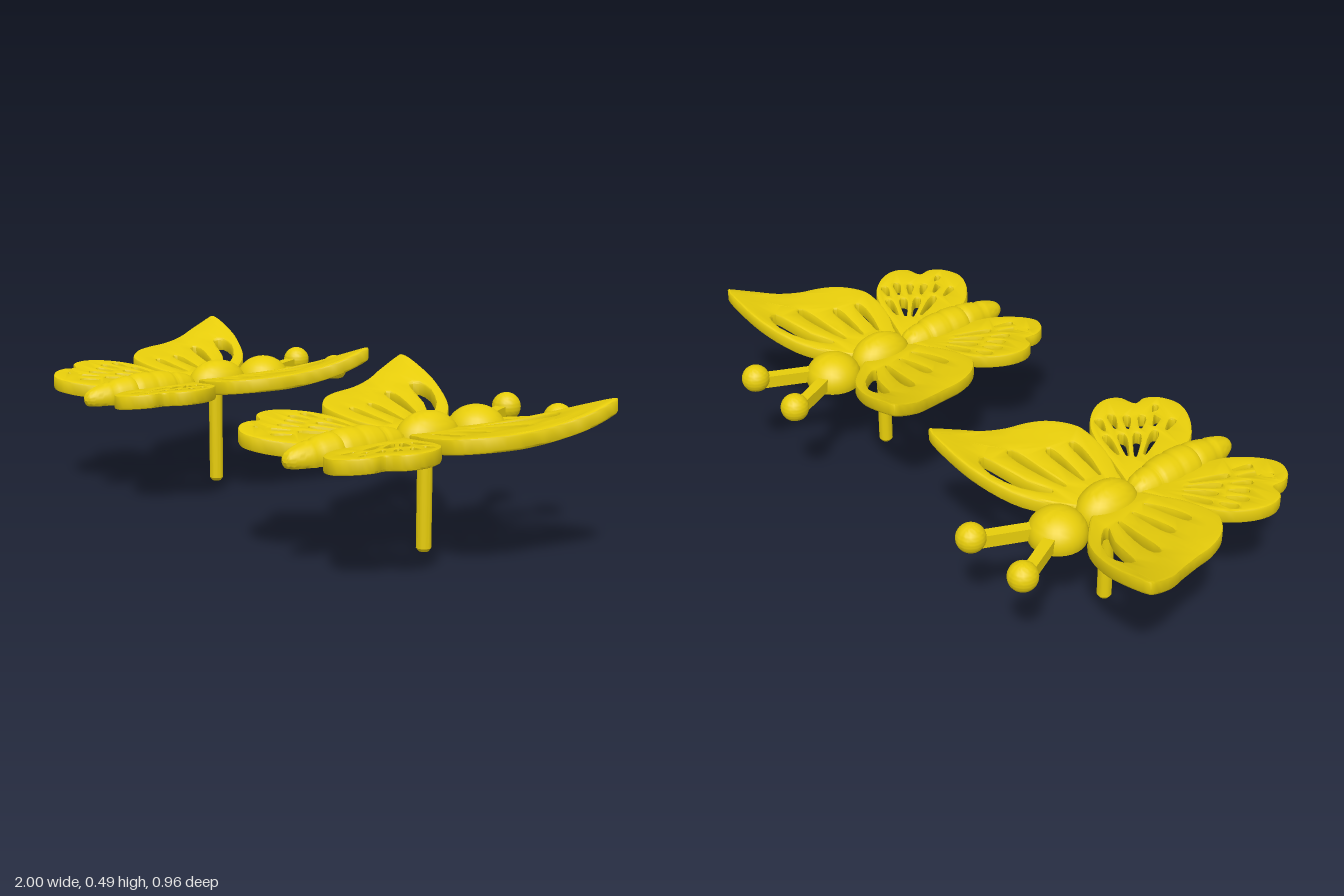
import * as THREE from 'three';
import { toCreasedNormals } from 'three/addons/utils/BufferGeometryUtils.js';

const gold = new THREE.MeshStandardMaterial({ color: 0xe6cc0a });
const FLOOR = 0.312; // flat underside of the body

// Splits long edges so that a flat cap can be bent smoothly
function subdivide(geo, maxLen) {
  const src = geo.index ? geo.toNonIndexed() : geo;
  const p = src.attributes.position, out = [];
  const split = (a, b, c) => {
    const ab = a.distanceTo(b), bc = b.distanceTo(c), ca = c.distanceTo(a);
    const m = Math.max(ab, bc, ca);
    if (m < maxLen) { out.push(...a.toArray(), ...b.toArray(), ...c.toArray()); return; }
    if (m === bc) [a, b, c] = [b, c, a];
    else if (m === ca) [a, b, c] = [c, a, b];
    const mid = a.clone().add(b).multiplyScalar(0.5);
    split(a, mid, c);
    split(mid, b, c);
  };
  const v = (i) => new THREE.Vector3().fromBufferAttribute(p, i);
  for (let i = 0; i < p.count; i += 3) split(v(i), v(i + 1), v(i + 2));
  const res = new THREE.BufferGeometry();
  res.setAttribute('position', new THREE.Float32BufferAttribute(out, 3));
  return res;
}

function moveVertices(geo, rule) {
  const p = geo.attributes.position;
  for (let i = 0; i < p.count; i++) p.setY(i, rule(p.getX(i), p.getY(i), p.getZ(i)));
  return geo;
}

const spline = (pts, n) =>
  new THREE.SplineCurve(pts.map(([x, z]) => new THREE.Vector2(x, z)).concat(new THREE.Vector2(...pts[0]))).getPoints(n).slice(0, -1);

// Teardrop opening from a to b, widest near b; bow bends it sideways
function teardrop([ax, az], [bx, bz], w, bow = 0) {
  const dx = bx - ax, dz = bz - az, l = Math.hypot(dx, dz);
  const at = (t, s) => {
    const o = s * w / 2 + bow * 4 * t * (1 - t);
    return [ax + dx * t - dz / l * o, az + dz * t + dx / l * o];
  };
  return [at(0, 0.25), at(0.35, 0.7), at(0.75, 1), at(0.96, 0.6), at(0.96, -0.6), at(0.75, -1), at(0.35, -0.7), at(0, -0.25)];
}

const FORE = [[0.02, -0.1], [0.06, -0.15], [0.15, -0.235], [0.27, -0.29], [0.37, -0.31], [0.45, -0.312], [0.46, -0.285],
  [0.445, -0.21], [0.42, -0.145], [0.4, -0.07], [0.388, 0], [0.36, 0.065], [0.31, 0.115], [0.26, 0.132], [0.165, 0.122],
  [0.085, 0.09], [0.02, 0.05]];
const FORE_HOLES = [
  teardrop([0.115, -0.135], [0.315, -0.235], 0.052, -0.022),
  teardrop([0.115, -0.085], [0.315, -0.13], 0.034, -0.004),
  teardrop([0.105, -0.022], [0.265, -0.022], 0.028),
  teardrop([0.095, 0.035], [0.25, 0.058], 0.028, 0.004),
];
const HIND = [[0.02, 0.08], [0.14, 0.115], [0.22, 0.135], [0.285, 0.17], [0.335, 0.23], [0.35, 0.29], [0.33, 0.338],
  [0.285, 0.358], [0.288, 0.4], [0.265, 0.443], [0.215, 0.472], [0.165, 0.465], [0.11, 0.43], [0.06, 0.37], [0.02, 0.25]];

// Hind wing openings fan out from the wing root in rings
const polar = (deg, r) => [0.04 + r * Math.cos(deg * Math.PI / 180), 0.12 + r * Math.sin(deg * Math.PI / 180)];
const ray = (deg, r0, r1, w) => teardrop(polar(deg, r0), polar(deg, r1), w);
const HIND_HOLES = [
  ray(16, 0.1, 0.19, 0.024), ray(32, 0.09, 0.19, 0.026), ray(47, 0.09, 0.2, 0.024), ray(61, 0.11, 0.23, 0.024),
  ray(19, 0.21, 0.265, 0.024), ray(29, 0.215, 0.28, 0.024), ray(39, 0.215, 0.275, 0.022),
  ray(49, 0.225, 0.285, 0.022), ray(58, 0.25, 0.315, 0.022), ray(67, 0.25, 0.31, 0.02), ray(55, 0.31, 0.35, 0.016),
];

// Pierced wing plate, bent upward by lift(u, z); side is +1 or -1
function wing(name, outline, holes, side, lift) {
  const flip = (pts) => pts.map(([x, z]) => [x * side, z]);
  const shape = new THREE.Shape(spline(flip(outline), 64));
  shape.holes = holes.map((h) => new THREE.Path(spline(flip(h), 16)));
  const bevel = 0.007, depth = 0.045;
  let geo = new THREE.ExtrudeGeometry(shape, {
    depth: depth - 2 * bevel, bevelThickness: bevel, bevelSize: bevel, bevelOffset: -bevel, bevelSegments: 2,
  });
  geo.translate(0, 0, bevel).rotateX(Math.PI / 2);
  geo = moveVertices(subdivide(geo, 0.1), (x, y, z) => y + lift(Math.abs(x), z));
  return mesh(name, toCreasedNormals(geo, 0.7));
}

function mesh(name, geo) {
  const m = new THREE.Mesh(geo, gold);
  m.name = name;
  return m;
}

// Rounded body piece with its underside cut flat
function dome(name, rx, ry, rz, x, y, z, floor = FLOOR) {
  const geo = new THREE.SphereGeometry(1, 28, 24).scale(rx, ry, rz).translate(x, y, z);
  return mesh(name, toCreasedNormals(moveVertices(geo, (a, b) => Math.max(b, floor)), 0.7));
}

function abdomen() {
  const outline = new THREE.SplineCurve([[0.004, 0.06], [0.04, 0.09], [0.056, 0.15], [0.066, 0.22], [0.063, 0.31],
    [0.045, 0.41], [0.025, 0.465], [0.001, 0.482]].map((p) => new THREE.Vector2(...p)));
  const pts = outline.getPoints(56);
  // Shallow grooves between the segments
  for (const p of pts) for (const g of [0.155, 0.235, 0.31, 0.385]) p.x -= 0.006 * Math.max(0, 1 - Math.abs(p.y - g) / 0.011);
  const geo = new THREE.LatheGeometry(pts, 28).rotateX(Math.PI / 2).translate(0, 0.333, 0);
  return mesh('abdomen', toCreasedNormals(moveVertices(geo, (x, y) => Math.max(y, FLOOR)), 0.7));
}

function butterfly() {
  const g = new THREE.Group();
  g.name = 'butterfly';
  g.add(dome('head', 0.088, 0.076, 0.088, 0, 0.332, -0.213));
  g.add(dome('thorax', 0.075, 0.08, 0.105, 0, 0.332, -0.025));
  g.add(abdomen());

  // Mounting peg with a chamfered foot
  const peg = [[0, 0], [0.015, 0], [0.0225, 0.01], [0.0225, 0.33]].map((p) => new THREE.Vector2(...p));
  g.add(mesh('peg', toCreasedNormals(new THREE.LatheGeometry(peg, 20).translate(0, 0, -0.018), 0.6)));

  for (const side of [1, -1]) {
    g.add(wing('foreWing', FORE, FORE_HOLES, side, (u, z) => 0.355 + u * (0.15 + 1.5 * Math.min(z, 0) ** 2)));
    g.add(wing('hindWing', HIND, HIND_HOLES, side, (u) => 0.35 + 0.13 * u));

    // Antenna: flat-bottomed stalk and knob
    const a = new THREE.Vector2(0.03, -0.26), b = new THREE.Vector2(0.108, -0.425);
    const stalk = mesh('antennaStalk', new THREE.BoxGeometry(0.034, 0.04, a.distanceTo(b)));
    stalk.position.set(side * (a.x + b.x) / 2, 0.345, (a.y + b.y) / 2);
    stalk.rotation.y = side * Math.atan2(b.x - a.x, b.y - a.y);
    g.add(stalk);
    g.add(dome('antennaKnob', 0.044, 0.044, 0.044, side * 0.11, 0.358, -0.436, 0.325));
  }
  return g;
}

export function createModel() {
  const model = new THREE.Group();
  model.name = 'butterflyPair';
  for (const x of [-0.54, 0.54]) {
    const b = butterfly();
    b.position.x = x;
    model.add(b);
  }
  return model;
}
